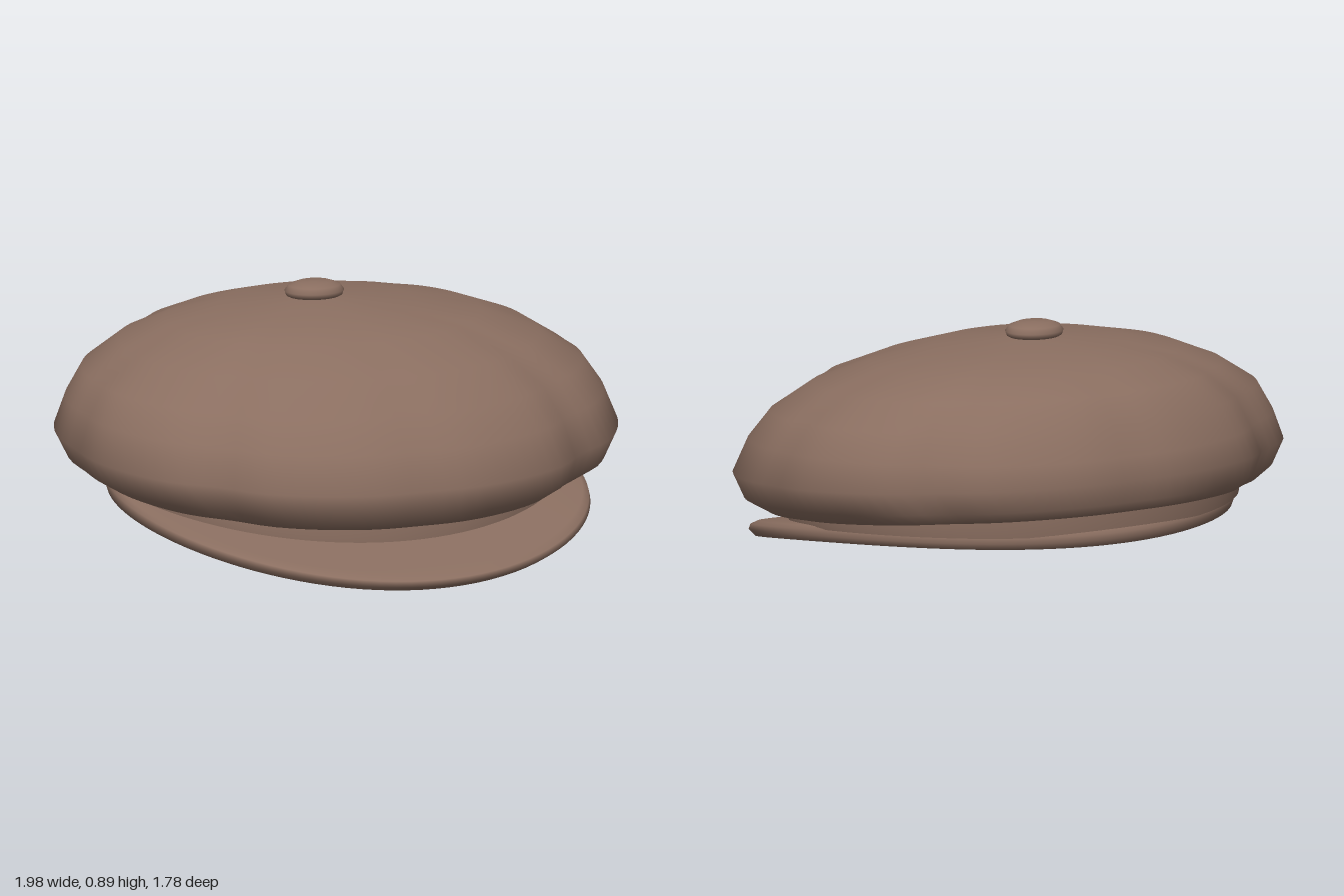
import * as THREE from 'three';

const SEGMENTS = 96;

// Surface through closed oval rings, listed from the top down.
// Ring: [half width, front z, front y, back z, back y, side lift, seam depth, centre x]
function loft(rings, material, name) {
  const pos = [], index = [];
  for (const [w, zf, yf, zb, yb, lift = 0, seam = 0, cx = 0] of rings) {
    for (let j = 0; j < SEGMENTS; j++) {
      const a = (j / SEGMENTS) * Math.PI * 2;
      // eight panels: seams every 45 degrees, deeper on the diagonals
      const k = Math.round(a / (Math.PI / 4));
      const d = a - k * (Math.PI / 4);
      const depth = seam * (k % 2 ? 1 : 0.45);
      const r = 1 - depth * Math.exp(-((d / 0.13) ** 2));
      const s = Math.sin(a) * r, c = Math.cos(a) * r;
      pos.push(
        cx + w * s,
        (yf + yb) / 2 + ((yf - yb) / 2) * c + lift * s * s,
        (zf + zb) / 2 + ((zf - zb) / 2) * c
      );
    }
  }
  for (let i = 0; i < rings.length - 1; i++) {
    for (let j = 0; j < SEGMENTS; j++) {
      const n = (j + 1) % SEGMENTS;
      const a = i * SEGMENTS + j, d = i * SEGMENTS + n;
      const b = a + SEGMENTS, c = d + SEGMENTS;
      index.push(a, b, c, a, c, d);
    }
  }
  const g = new THREE.BufferGeometry();
  g.setAttribute('position', new THREE.Float32BufferAttribute(pos, 3));
  g.setIndex(index);
  g.computeVertexNormals();
  const mesh = new THREE.Mesh(g, material);
  mesh.name = name;
  return mesh;
}

export function createModel() {
  const cap = new THREE.Group();
  cap.name = 'flatCap';
  const cloth = new THREE.MeshStandardMaterial({ color: 0x8a6e60 });
  cloth.name = 'brown cloth';

  // Puffed crown, tilted down towards the front and tucked in underneath
  cap.add(loft([
    [0, -0.16, 0.84, -0.16, 0.84, 0, 0, -0.03],
    [0.1, -0.07, 0.838, -0.25, 0.838, 0, 0, -0.03],
    [0.35, 0.17, 0.81, -0.47, 0.82, 0, 0.01, -0.03],
    [0.57, 0.31, 0.765, -0.60, 0.785, 0, 0.02, -0.01],
    [0.75, 0.51, 0.68, -0.74, 0.73, 0, 0.03],
    [0.895, 0.64, 0.57, -0.82, 0.64, 0.01, 0.035],
    [0.96, 0.73, 0.46, -0.87, 0.53, 0.02, 0.035],
    [1.005, 0.79, 0.33, -0.897, 0.45, 0.01, 0.035],
    [0.96, 0.765, 0.235, -0.875, 0.37, 0.01, 0.035],
    [0.88, 0.70, 0.19, -0.855, 0.335, 0.005, 0.025],
    [0.80, 0.58, 0.20, -0.77, 0.34, 0, 0],
  ], cloth, 'crown'));

  // Head band between crown and brim
  cap.add(loft([
    [0.82, 0.59, 0.21, -0.78, 0.36],
    [0.825, 0.60, 0.17, -0.785, 0.31, 0.03],
    [0.82, 0.60, 0.115, -0.78, 0.25, 0.05],
  ], cloth, 'headBand'));

  // Brim: lipped disc with raised sides, closed underneath
  cap.add(loft([
    [0.80, 0.58, 0.125, -0.765, 0.275, 0.05],
    [0.828, 0.845, 0.06, -0.78, 0.265, 0.065],
    [0.842, 0.885, 0.04, -0.79, 0.25, 0.07],
    [0.845, 0.895, 0.02, -0.792, 0.23, 0.07],
    [0.835, 0.855, 0.002, -0.78, 0.208, 0.07],
    [0, 0.05, 0.104, 0.05, 0.104],
  ], cloth, 'brim'));

  // Covered button on top
  cap.add(loft([
    [0, -0.17, 0.89, -0.17, 0.89, 0, 0, -0.033],
    [0.06, -0.118, 0.888, -0.222, 0.888, 0, 0, -0.033],
    [0.092, -0.09, 0.877, -0.25, 0.877, 0, 0, -0.033],
    [0.106, -0.078, 0.858, -0.262, 0.858, 0, 0, -0.033],
    [0.1, -0.084, 0.842, -0.256, 0.842, 0, 0, -0.033],
    [0.08, -0.1, 0.832, -0.24, 0.832, 0, 0, -0.033],
  ], cloth, 'button'));

  return cap;
}
